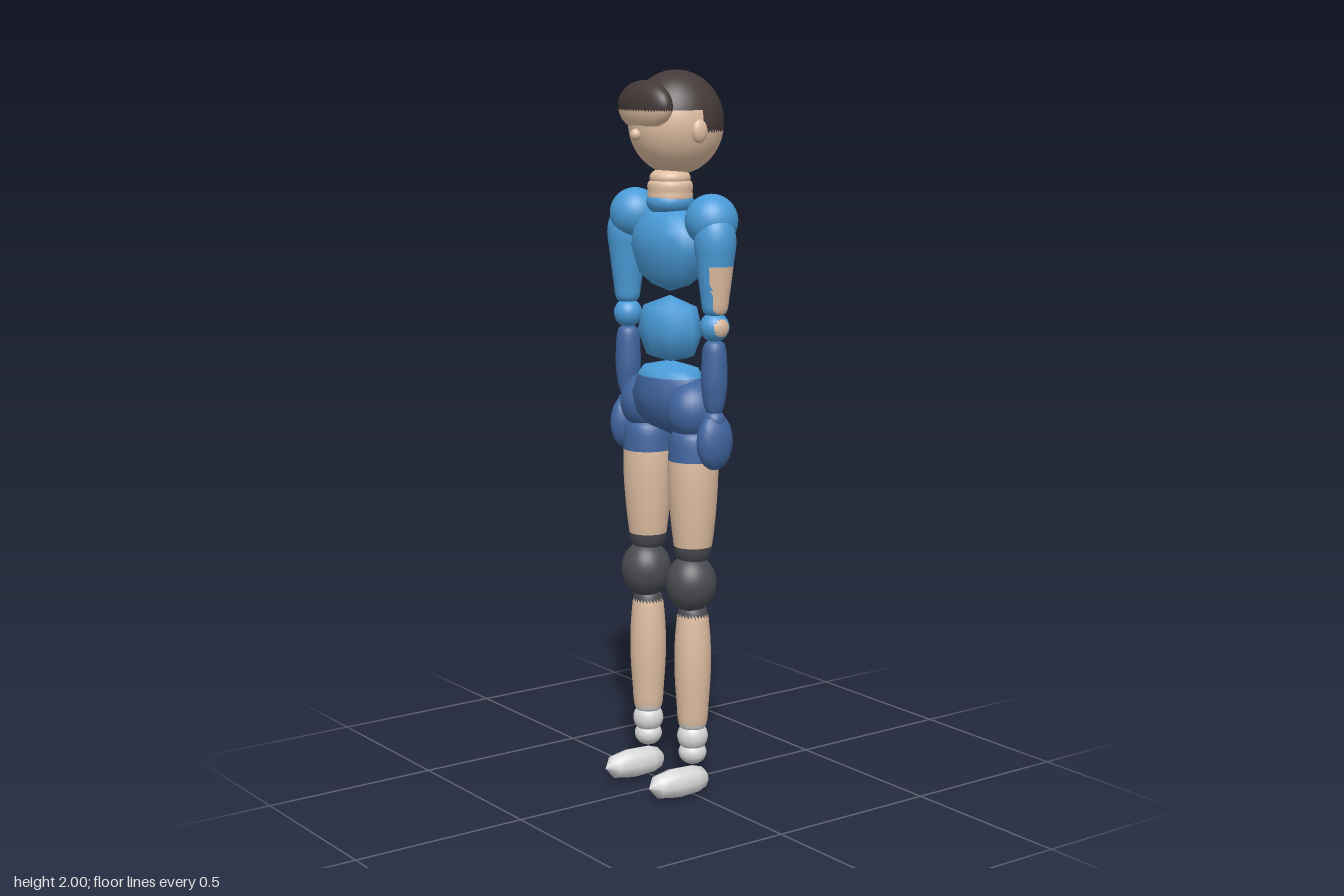
import * as THREE from 'three';

const mat = (name, color) => {
  const m = new THREE.MeshStandardMaterial({ color });
  m.name = name;
  return m;
};

export function createModel() {
  const skin = mat('skin', 0xdfbea2);
  const blue = mat('shirt blue', 0x4a9bd8);
  const navy = mat('navy', 0x40659f);
  const hair = mat('hair', 0x443a39);
  const dark = mat('knee grey', 0x494b50);
  const white = mat('shoe white', 0xd9d9d9);
  const model = new THREE.Group();

  // Adds a part; a function as paint picks a material for each triangle by its centre
  function add(parent, name, geo, paint) {
    let materials = paint;
    if (typeof paint === 'function') {
      const idx = geo.index.array, p = geo.attributes.position, buckets = new Map();
      const v = new THREE.Vector3(), c = new THREE.Vector3();
      for (let i = 0; i < idx.length; i += 3) {
        c.set(0, 0, 0);
        for (let k = 0; k < 3; k++) c.add(v.fromBufferAttribute(p, idx[i + k]));
        const m = paint(c.divideScalar(3));
        if (!buckets.has(m)) buckets.set(m, []);
        buckets.get(m).push(idx[i], idx[i + 1], idx[i + 2]);
      }
      materials = [...buckets.keys()];
      geo.clearGroups();
      let start = 0;
      materials.forEach((m, i) => {
        const n = buckets.get(m).length;
        geo.addGroup(start, n, i);
        start += n;
      });
      geo.setIndex([...buckets.values()].flat());
    }
    const mesh = new THREE.Mesh(geo, materials);
    mesh.name = name;
    parent.add(mesh);
    return mesh;
  }

  const ball = (x, y, z, rx, ry = rx, rz = rx, seg = 28) =>
    new THREE.SphereGeometry(1, seg, Math.round(seg * 0.7)).scale(rx, ry, rz).translate(x, y, z);

  // Turned body from [radius, y] pairs, bottom to top
  const points = (pairs) => pairs.map(([r, y]) => new THREE.Vector2(r, y));
  const turned = (pairs, seg, depth = 1) =>
    new THREE.LatheGeometry(points(pairs), seg).scale(1, 1, depth);
  const limb = (pairs, x, seg = 20) => {
    const pts = new THREE.SplineCurve(points(pairs)).getPoints(32);
    pts.forEach((p) => { p.x = Math.max(0, p.x); });
    return new THREE.LatheGeometry(pts, seg).translate(x, 0, 0);
  };

  // Head, with the hair as the upper cap and a lower hairline at the back
  const head = new THREE.Group();
  head.name = 'head';
  model.add(head);
  const headHair = (c) => (c.y > 1.895 || (c.z < -0.02 && c.y > 1.838) ? hair : skin);
  add(head, 'skull', ball(0, 1.86, -0.02, 0.123, 0.14, 0.133, 72), headHair);
  add(head, 'fringe', ball(0, 1.905, 0.082, 0.108, 0.068, 0.046, 56), (c) => (c.y > 1.895 ? hair : skin));
  add(head, 'nose', ball(0, 1.83, 0.113, 0.016), skin);
  for (const s of [1, -1]) add(head, 'ear', ball(s * 0.118, 1.84, -0.01, 0.016, 0.032, 0.024), skin);

  // Neck
  add(model, 'upperNeck', ball(0, 1.712, 0, 0.056, 0.03), skin);
  add(model, 'lowerNeck', limb([[0, 1.64], [0.055, 1.65], [0.061, 1.675], [0.055, 1.705], [0, 1.715]], 0), skin);
  add(model, 'collar', ball(0, 1.648, 0, 0.063, 0.04, 0.066), blue);

  // Torso in three separate low-sided pieces
  add(model, 'chest', turned([[0, 1.405], [0.07, 1.425], [0.115, 1.455], [0.142, 1.525],
    [0.132, 1.575], [0.085, 1.622], [0, 1.634]], 12, 0.6), blue);
  add(model, 'belly', turned([[0, 1.212], [0.08, 1.23], [0.11, 1.295], [0.09, 1.365],
    [0, 1.395]], 8, 0.69), blue);
  add(model, 'pelvis', turned([[0, 1.012], [0.07, 1.035], [0.115, 1.07], [0.13, 1.125],
    [0.112, 1.175], [0.095, 1.197], [0, 1.217]], 10, 0.7), (c) => (c.y > 1.175 ? blue : navy));

  for (const s of [1, -1]) {
    // Arm, with bare skin on its outer face
    const arm = new THREE.Group();
    arm.name = s > 0 ? 'leftArm' : 'rightArm';
    model.add(arm);
    const sleeve = (c) => (Math.abs(c.x) > 0.228 && c.y < 1.49 ? skin : blue);
    add(arm, 'shoulder', ball(s * 0.175, 1.607, -0.008, 0.071), blue);
    add(arm, 'upperArm', limb([[0, 1.355], [0.03, 1.365], [0.039, 1.41], [0.049, 1.49],
      [0.056, 1.56], [0.04, 1.61], [0, 1.625]], s * 0.202, 32), sleeve);
    add(arm, 'elbow', ball(s * 0.2, 1.327, 0, 0.04), (c) => (Math.abs(c.x) > 0.232 ? skin : blue));
    add(arm, 'forearm', limb([[0, 1.09], [0.022, 1.1], [0.034, 1.16], [0.035, 1.22],
      [0.028, 1.28], [0, 1.295]], s * 0.2), navy);
    add(arm, 'wrist', ball(s * 0.2, 1.075, 0, 0.03), navy);
    add(arm, 'hand', ball(s * 0.203, 1.018, 0, 0.037, 0.078, 0.056, 14), navy);

    // Leg
    const leg = new THREE.Group();
    leg.name = s > 0 ? 'leftLeg' : 'rightLeg';
    model.add(leg);
    const x = s * 0.106;
    add(leg, 'hip', ball(s * 0.108, 1.09, 0, 0.07, 0.08, 0.078), navy);
    add(leg, 'thigh', limb([[0, 0.665], [0.042, 0.68], [0.056, 0.74], [0.067, 0.86],
      [0.068, 0.96], [0.056, 1.03], [0, 1.05]], x, 28),
    (c) => (c.y > 0.955 ? navy : c.y < 0.715 ? dark : skin));
    add(leg, 'knee', ball(x, 0.61, 0.006, 0.07, 0.08, 0.071), (c) => (c.y < 0.54 ? skin : dark));
    add(leg, 'shin', limb([[0, 0.19], [0.036, 0.2], [0.045, 0.27], [0.051, 0.38],
      [0.047, 0.48], [0.036, 0.54], [0, 0.555]], x, 28),
    (c) => (c.y > 0.52 ? dark : c.y < 0.21 ? white : skin));
    add(leg, 'ankle', ball(x, 0.172, 0, 0.043), white);
    add(leg, 'heelJoint', ball(x, 0.125, 0, 0.039, 0.034), white);

    // Foot, turned about the z axis and pointed at the toe
    const foot = turned([[0, -0.055], [0.032, -0.032], [0.043, 0], [0.046, 0.06],
      [0.035, 0.12], [0, 0.149]], 8);
    foot.rotateX(Math.PI / 2).scale(1, 0.93, 1).translate(x, 0.045, 0);
    add(leg, 'foot', foot, white);
  }
  return model;
}
